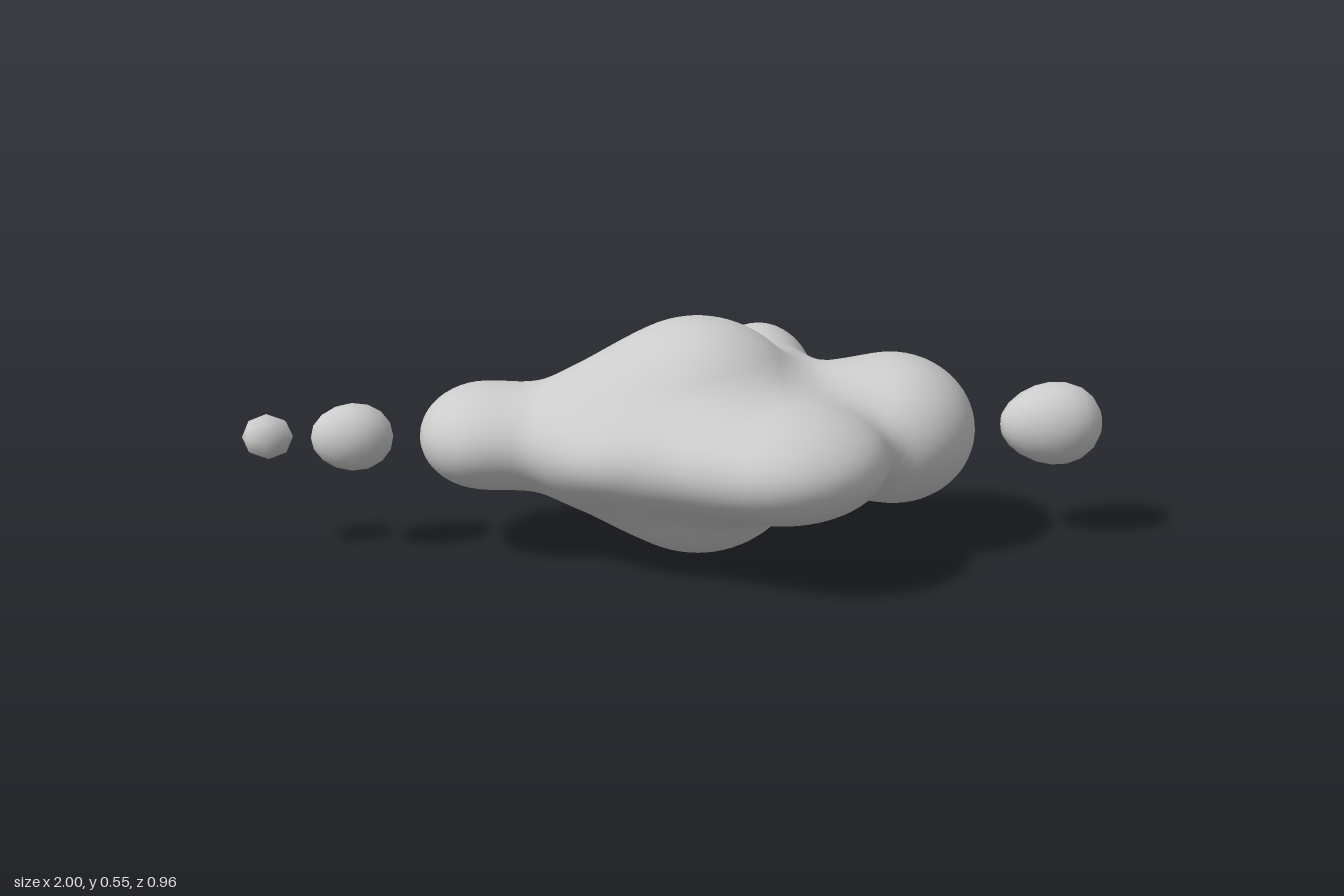
import * as THREE from 'three';
import { mergeVertices } from 'three/addons/utils/BufferGeometryUtils.js';

// Lobes of the body: centre x, y, z and radii x, y, z
const LOBES = [
  [0.045, 0.278, 0.02, 0.27, 0.274, 0.275],    // core
  [-0.12, 0.28, 0.03, 0.22, 0.185, 0.2],       // shoulder towards the tail
  [-0.24, 0.28, 0.03, 0.2, 0.115, 0.18],       // tail neck
  [-0.44, 0.28, 0.0, 0.153, 0.12, 0.177],      // tail ball
  [0.32, 0.28, 0.0, 0.17, 0.15, 0.18],         // head neck
  [0.50, 0.28, -0.005, 0.193, 0.173, 0.22],    // head ball
  [0.215, 0.28, 0.23, 0.24, 0.135, 0.25],      // front lobe
  [0.04, 0.28, 0.2, 0.17, 0.11, 0.19],         // front lobe root
  [-0.11, 0.28, 0.15, 0.19, 0.11, 0.18],       // front flank
  [0.22, 0.28, -0.305, 0.145, 0.18, 0.18],     // back ball
  [0.25, 0.28, -0.14, 0.11, 0.155, 0.12],      // back neck
  [0.04, 0.28, -0.27, 0.072, 0.085, 0.08],     // small back bump
  [-0.19, 0.28, -0.165, 0.1, 0.095, 0.103],    // side back bump
];
const BLEND = 0.075;

// Smoothly blended distance to all lobes
function field(x, y, z) {
  let d = 10;
  for (const [cx, cy, cz, rx, ry, rz] of LOBES) {
    const a = (x - cx) / rx, b = (y - cy) / ry, c = (z - cz) / rz;
    const k0 = Math.hypot(a, b, c);
    const k1 = Math.hypot(a / rx, b / ry, c / rz) + 1e-6;
    const e = k0 * (k0 - 1) / k1;
    const h = Math.max(BLEND - Math.abs(d - e), 0) / BLEND;
    d = Math.min(d, e) - h * h * BLEND / 4;
  }
  return d;
}

function gradient([x, y, z]) {
  const e = 0.003;
  return [
    (field(x + e, y, z) - field(x - e, y, z)) / (2 * e),
    (field(x, y + e, z) - field(x, y - e, z)) / (2 * e),
    (field(x, y, z + e) - field(x, y, z - e)) / (2 * e),
  ];
}

// Skin the field: one vertex per crossed cell, one quad per crossed grid edge
function skinGeometry() {
  const step = 0.02, origin = [-0.71, -0.07, -0.59], size = [74, 35, 58];
  const id = (i, j, k) => (i * size[1] + j) * size[2] + k;
  const values = new Float32Array(size[0] * size[1] * size[2]);
  const eachPoint = (visit) => {
    for (let i = 0; i < size[0]; i++)
      for (let j = 0; j < size[1]; j++)
        for (let k = 0; k < size[2]; k++) visit(i, j, k);
  };
  eachPoint((i, j, k) => {
    values[id(i, j, k)] = field(origin[0] + i * step, origin[1] + j * step, origin[2] + k * step);
  });

  const positions = [], normals = [], indices = [], known = new Map();
  const cellVertex = (c) => {
    const key = id(...c);
    if (!known.has(key)) {
      let p = c.map((n, a) => origin[a] + (n + 0.5) * step);
      for (let t = 0; t < 5; t++) {
        const g = gradient(p);
        const s = field(...p) / Math.max(g[0] ** 2 + g[1] ** 2 + g[2] ** 2, 0.2);
        p = p.map((n, a) => n - g[a] * s);
      }
      const n = new THREE.Vector3(...gradient(p)).normalize();
      known.set(key, positions.length / 3);
      positions.push(...p);
      normals.push(n.x, n.y, n.z);
    }
    return known.get(key);
  };
  eachPoint((i, j, k) => {
    const inside = values[id(i, j, k)] < 0;
    for (let a = 0; a < 3; a++) {
      const next = [i, j, k];
      if (++next[a] >= size[a] || (values[id(...next)] < 0) === inside) continue;
      const u = (a + 1) % 3, v = (a + 2) % 3;
      const q = [[0, 0], [1, 0], [1, 1], [0, 1]].map(([du, dv]) => {
        const c = [i, j, k];
        c[u] -= du;
        c[v] -= dv;
        return cellVertex(c);
      });
      if (!inside) q.reverse();
      indices.push(q[0], q[1], q[2], q[0], q[2], q[3]);
    }
  });
  const geometry = new THREE.BufferGeometry();
  geometry.setAttribute('position', new THREE.Float32BufferAttribute(positions, 3));
  geometry.setAttribute('normal', new THREE.Float32BufferAttribute(normals, 3));
  geometry.setIndex(indices);
  return geometry;
}

// Egg-shaped droplet, narrower towards -x when taper is positive
function dropletGeometry(rx, ry, rz, taper, segments) {
  const sphere = new THREE.SphereGeometry(1, segments, segments / 2);
  sphere.deleteAttribute('uv');
  sphere.deleteAttribute('normal');
  const geometry = mergeVertices(sphere.rotateZ(Math.PI / 2));
  const p = geometry.attributes.position;
  for (let i = 0; i < p.count; i++) {
    const x = p.getX(i), w = 1 + taper * x;
    p.setXYZ(i, x * rx, p.getY(i) * ry * w, p.getZ(i) * rz * w);
  }
  geometry.computeVertexNormals();
  return geometry;
}

export function createModel() {
  const model = new THREE.Group();
  const material = new THREE.MeshStandardMaterial({ color: 0xcccccc });
  const add = (name, geometry, x, y, z) => {
    const mesh = new THREE.Mesh(geometry, material);
    mesh.name = name;
    mesh.position.set(x, y, z);
    model.add(mesh);
  };

  add('blendedBody', skinGeometry(), 0, 0, 0);

  // Loose droplets in line with the body
  add('largeDroplet', dropletGeometry(0.12, 0.098, 0.09, 0.12, 20), 0.88, 0.28, -0.012);
  add('mediumDroplet', dropletGeometry(0.094, 0.079, 0.071, 0.06, 16), -0.748, 0.28, 0);
  add('smallDroplet', dropletGeometry(0.058, 0.054, 0.05, 0, 8), -0.942, 0.28, -0.013);
  return model;
}
